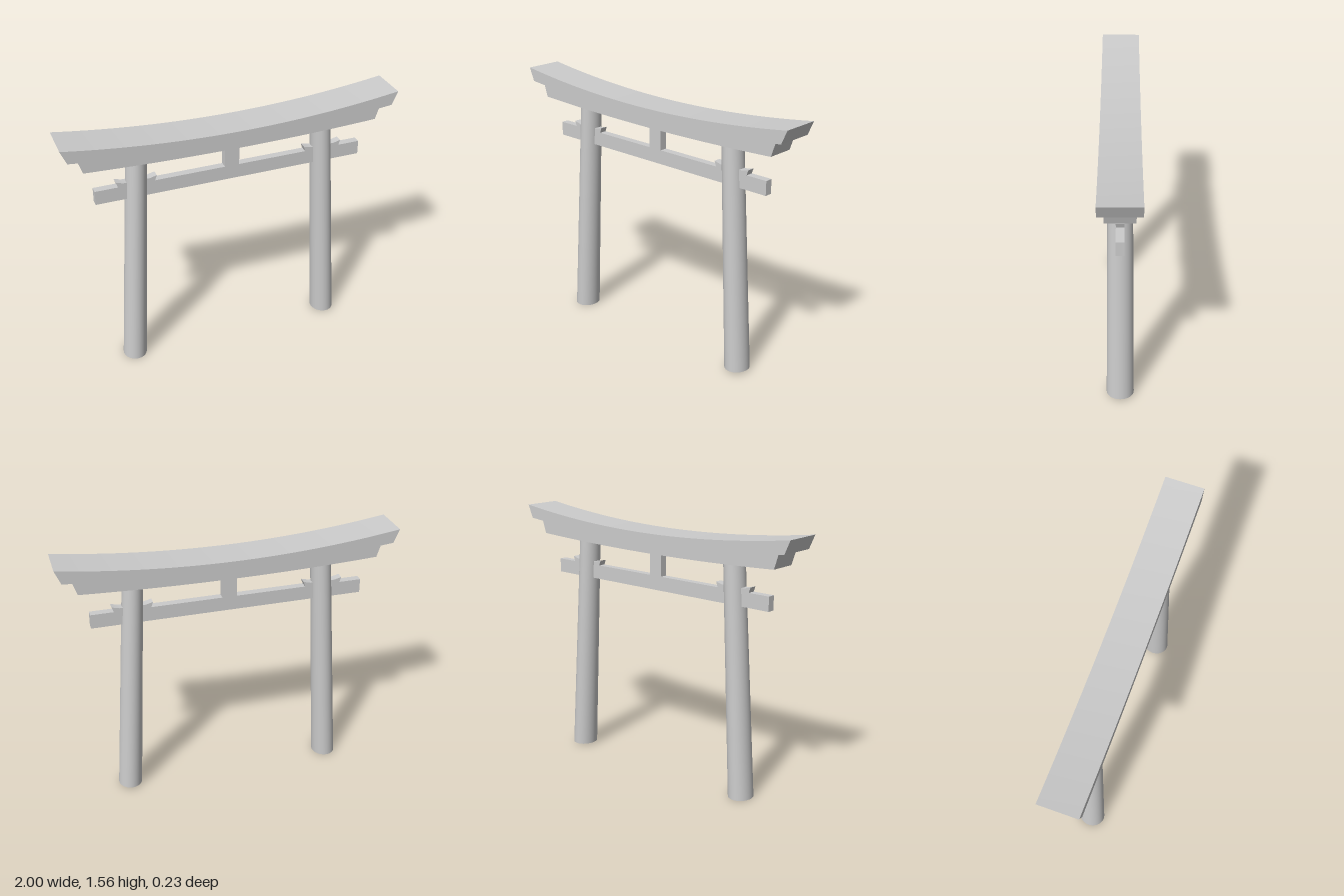
import * as THREE from 'three';
import { toCreasedNormals } from 'three/addons/utils/BufferGeometryUtils.js';

const material = new THREE.MeshStandardMaterial({ color: 0xcccccc });
const openMaterial = new THREE.MeshStandardMaterial({ color: 0xcccccc, side: THREE.DoubleSide });

// Extrude an outline of [x, y] points symmetrically about z = 0
function slab(name, points, halfDepth) {
  const shape = new THREE.Shape(points.map(([x, y]) => new THREE.Vector2(x, y)));
  const geometry = new THREE.ExtrudeGeometry(shape, { depth: 2 * halfDepth, bevelEnabled: false });
  geometry.translate(0, 0, -halfDepth);
  const mesh = new THREE.Mesh(toCreasedNormals(geometry, 0.3), material);
  mesh.name = name;
  return mesh;
}

// Points along an upward-curving parabola, from -halfLength to +halfLength
function sag(halfLength, midY, endY, steps = 28) {
  return Array.from({ length: steps + 1 }, (_, i) => {
    const t = (2 * i) / steps - 1;
    return [t * halfLength, midY + (endY - midY) * t * t];
  });
}

// Curved beam; each edge is [halfLength, midY, endY]
function curvedBeam(name, bottom, top, halfDepth) {
  return slab(name, [...sag(...bottom), ...sag(...top).reverse()], halfDepth);
}

function box(name, halfWidth, y0, y1, halfDepth) {
  return slab(name, [[-halfWidth, y0], [halfWidth, y0], [halfWidth, y1], [-halfWidth, y1]], halfDepth);
}

// Tapered, inward-leaning oval pillar, open at the foot
function pillar(side) {
  const y0 = side > 0 ? 0.012 : 0;
  const y1 = 1.385;
  const geometry = new THREE.CylinderGeometry(0.06, 0.072, y1 - y0, 40, 1, true);
  geometry.scale(1, 1, 1.12);
  geometry.translate(0, (y0 + y1) / 2, 0);
  const position = geometry.attributes.position;
  for (let i = 0; i < position.count; i++) {
    const lean = 0.645 - 0.06 * position.getY(i);
    position.setX(i, position.getX(i) + side * lean);
  }
  geometry.computeVertexNormals();
  // Weld the shading across the seam
  const normal = geometry.attributes.normal;
  for (const row of [0, 41]) {
    const n = new THREE.Vector3().fromBufferAttribute(normal, row)
      .add(new THREE.Vector3().fromBufferAttribute(normal, row + 40)).normalize();
    normal.setXYZ(row, n.x, n.y, n.z);
    normal.setXYZ(row + 40, n.x, n.y, n.z);
  }
  const mesh = new THREE.Mesh(geometry, openMaterial);
  mesh.name = side > 0 ? 'leftPillar' : 'rightPillar';
  return mesh;
}

export function createModel() {
  const group = new THREE.Group();
  group.name = 'gate';

  // Two stacked curved lintels with a thin moulding between them
  group.add(
    curvedBeam('topLintel', [0.965, 1.434, 1.483], [1, 1.491, 1.564], 0.116),
    curvedBeam('lintelMoulding', [0.91, 1.424, 1.472], [0.915, 1.44, 1.486], 0.09),
    curvedBeam('lowerLintel', [0.88, 1.367, 1.39], [0.91, 1.434, 1.48], 0.082),
  );

  // Tie beam through the pillars, and the central strut above it
  group.add(
    box('tieBeam', 0.815, 1.14, 1.225, 0.023),
    box('centralStrut', 0.044, 1.225, 1.375, 0.023),
  );

  // Pillars with flared wedges on both sides of each
  for (const side of [-1, 1]) {
    group.add(pillar(side));
    for (const dir of [-1, 1]) {
      const outline = [[0, 1.225], [0.108, 1.225], [0.119, 1.256], [0.075, 1.245], [0, 1.245]];
      const points = outline.map(([x, y]) => [side * 0.573 + dir * x, y]);
      group.add(slab('wedge', points, 0.023));
    }
  }
  return group;
}
